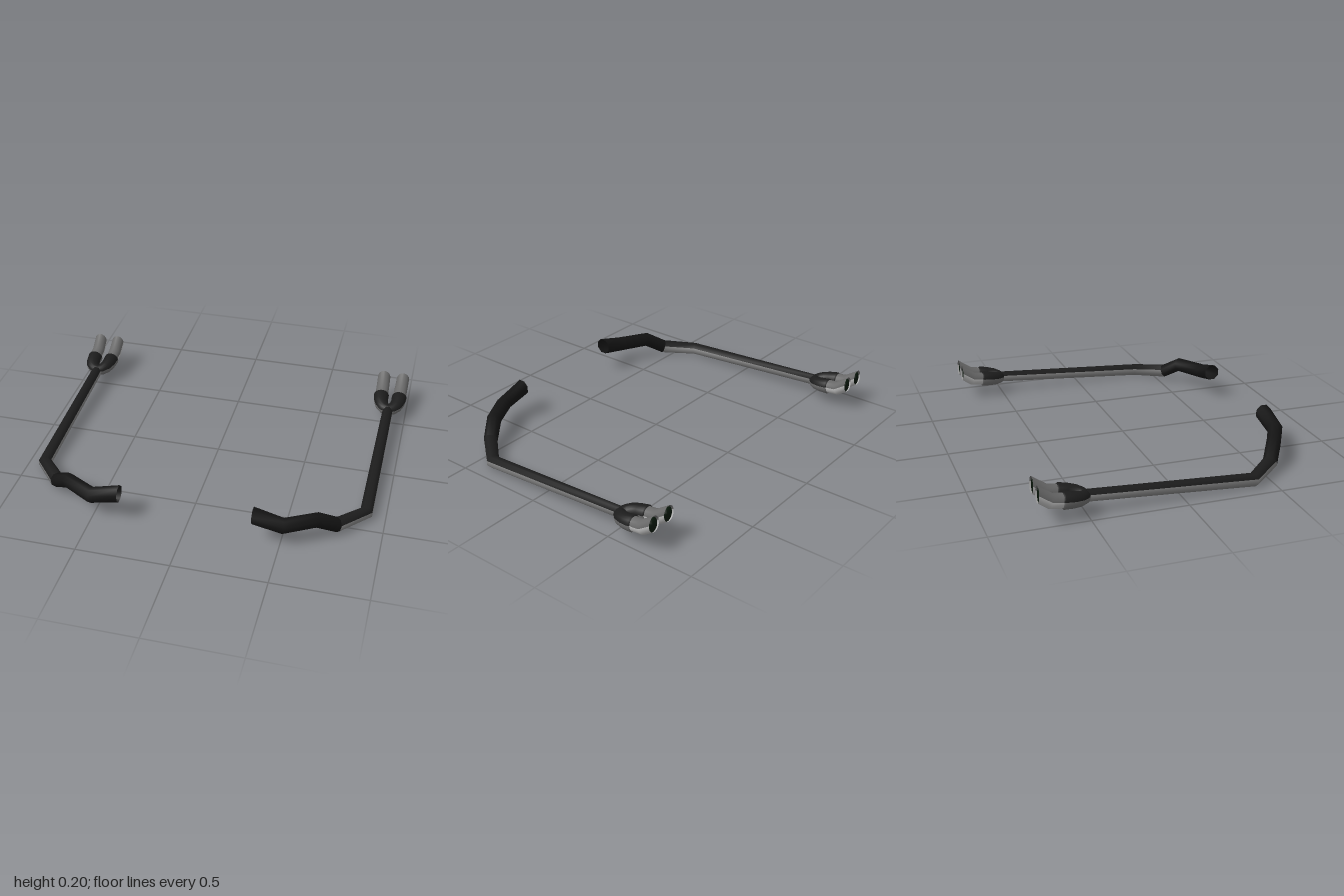
import * as THREE from 'three';

const V = (a) => new THREE.Vector3(a[0], a[1], a[2]);
const paint = (color) => new THREE.MeshStandardMaterial({ color, side: THREE.DoubleSide });

// Round tube with mitred bends. Each point is [x, y, z, radius];
// startCut and endCut are optional normals of the end planes.
// Returns the upper and the lower part of the skin, which share their normals.
function sweep(points, { sides = 20, startCut, endCut, cap = false } = {}) {
  const centres = points.map(V);
  const last = centres.length - 1;
  const dirs = centres.slice(1).map((p, i) => p.clone().sub(centres[i]).normalize());
  const up = new THREE.Vector3(0, 1, 0);
  const pos = [];
  const upper = [];
  const lower = [];
  centres.forEach((c, i) => {
    const d = dirs[Math.max(i - 1, 0)];
    let t = i === 0 || i === last ? d.clone() : d.clone().add(dirs[i]).normalize();
    if (i === 0 && startCut) t = V(startCut).normalize();
    if (i === last && endCut) t = V(endCut).normalize();
    const u = up.clone().cross(t).normalize();
    const v = t.clone().cross(u);
    // stretch the ring along the bend so the tube keeps its thickness
    const cos = Math.abs(d.dot(t));
    const b = d.clone().addScaledVector(t, -d.dot(t)).normalize();
    for (let k = 0; k < sides; k++) {
      const a = ((k + 0.5) / sides) * Math.PI * 2;
      const o = u.clone().multiplyScalar(Math.cos(a)).addScaledVector(v, Math.sin(a)).multiplyScalar(points[i][3]);
      o.addScaledVector(b, o.dot(b) * (1 / cos - 1)).add(c);
      pos.push(o.x, o.y, o.z);
      if (i < last) {
        const p = i * sides + k;
        const q = i * sides + ((k + 1) % sides);
        const part = Math.sin(((k + 1) / sides) * Math.PI * 2) > 0.3 ? upper : lower;
        part.push(p, q, p + sides, q, q + sides, p + sides);
      }
    }
  });
  if (cap) {
    const n = pos.length / 3;
    pos.push(...centres[last].toArray());
    for (let k = 0; k < sides; k++) lower.push(last * sides + k, last * sides + ((k + 1) % sides), n);
  }
  const g = new THREE.BufferGeometry();
  g.setAttribute('position', new THREE.Float32BufferAttribute(pos, 3));
  g.setIndex([...upper, ...lower]);
  g.computeVertexNormals();
  return [upper, lower].map((index) => g.clone().setIndex(index));
}

export function createModel() {
  const black = paint(0x131313);
  const soot = paint(0x1c1c1c);
  const steel = paint(0x7c7c7c);
  const grey = paint(0x686868);
  const bright = paint(0xb4b4b4);
  const inside = paint(0x0a180c);
  const model = new THREE.Group();
  model.name = 'exhaustPipes';

  for (const s of [1, -1]) {
    const side = new THREE.Group();
    side.name = s > 0 ? 'leftExhaust' : 'rightExhaust';
    model.add(side);
    // a part in two tones: dark on top, lighter underneath
    const add = (name, top, bottom, points, opts) => {
      const part = new THREE.Group();
      part.name = name;
      const halves = sweep(points.map(([x, y, z, r]) => [x * s, y, z, r]), opts);
      halves.forEach((geometry, i) => {
        const mesh = new THREE.Mesh(geometry, i ? bottom : top);
        mesh.name = name + (i ? 'Underside' : 'Top');
        part.add(mesh);
      });
      side.add(part);
    };

    // bent front section, meeting the long run on a mitre
    const mitre = [0.704 * s, -0.299, -0.644];
    add('frontPipe', black, black, [
      [0.355, 0.16, 0.703, 0.046],
      [0.51, 0.12, 0.7, 0.042],
      [0.67, 0.12, 0.612, 0.04],
      [0.765, 0.055, 0.547, 0.039],
    ], { sides: 8, startCut: [s, 0, 0], endCut: mitre });
    add('longPipe', soot, steel, [
      [0.765, 0.055, 0.547, 0.039],
      [0.897, 0.037, 0.392, 0.035],
      [0.9, 0.091, -0.505, 0.031],
    ], { sides: 8, startCut: mitre });

    for (const m of [1, -1]) {
      const x = (d) => 0.9 + m * d;
      // one half of the U-shaped splitter
      add('forkBranch', soot, grey, [
        [x(0), 0.091, -0.505, 0.031],
        [x(0.022), 0.093, -0.515, 0.034],
        [x(0.04), 0.097, -0.54, 0.038],
        [x(0.05), 0.102, -0.575, 0.041],
        [x(0.053), 0.108, -0.622, 0.044],
        [x(0.053), 0.109, -0.63, 0.037],
      ], { startCut: [m * s, 0, 0] });
      // upturned outlet with a vertical cut
      add('tailTip', grey, bright, [
        [x(0.053), 0.107, -0.615, 0.038],
        [x(0.054), 0.116, -0.685, 0.038],
        [x(0.056), 0.16, -0.749, 0.037],
      ], { endCut: [0, 0.06, -0.998] });
      // dark lining of the outlet
      add('tipLining', inside, inside, [
        [x(0.054), 0.118, -0.69, 0.034],
        [x(0.056), 0.153, -0.741, 0.034],
      ], { endCut: [0, 0.06, -0.998], cap: true });
    }
  }
  return model;
}
